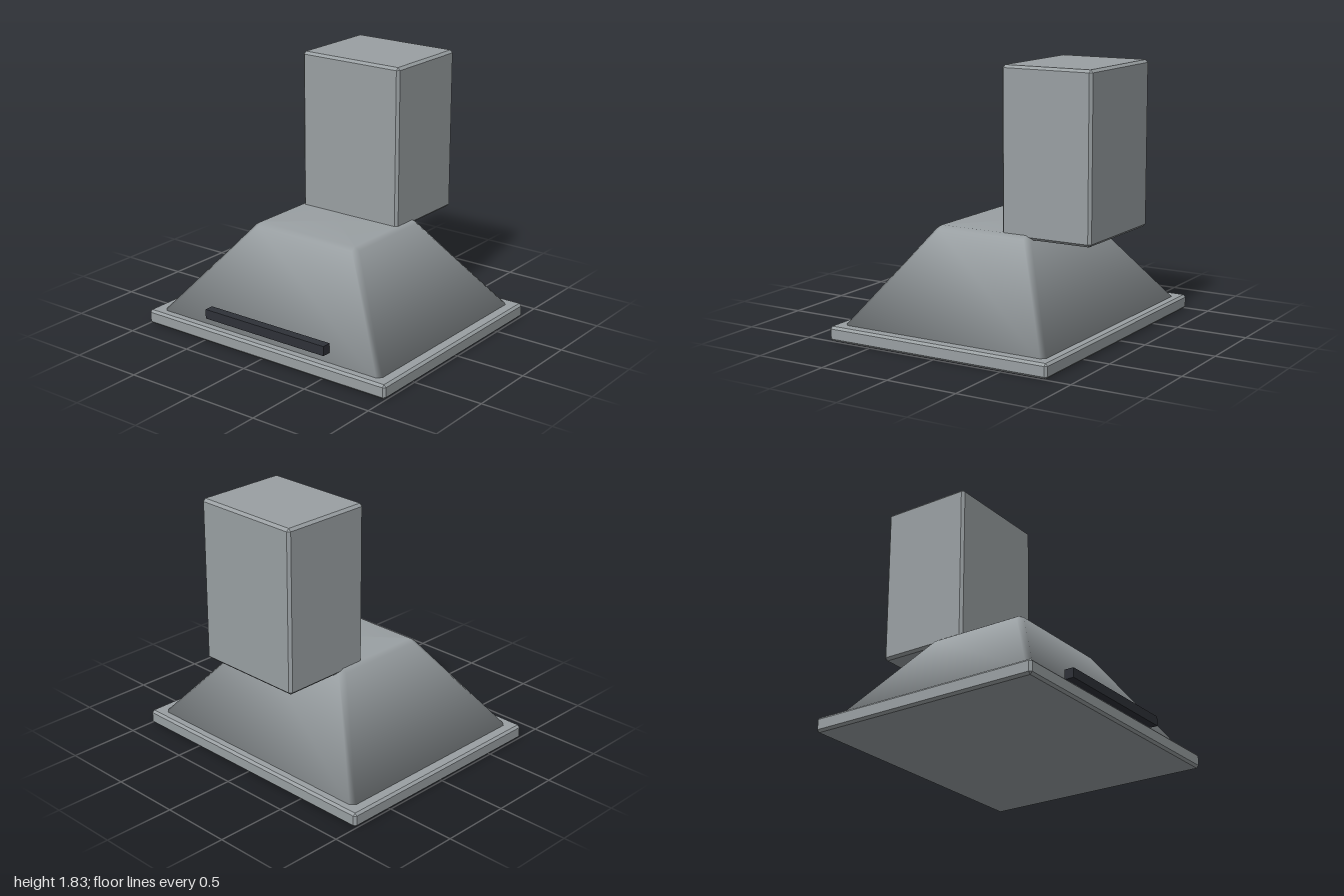
import * as THREE from 'three';
import { ConvexGeometry } from 'three/addons/geometries/ConvexGeometry.js';

const steel = new THREE.MeshStandardMaterial({ color: 0x9aa0a3 });
const dark = new THREE.MeshStandardMaterial({ color: 0x2e3138 });

// Box with chamfered edges, centred on its origin
function chamferBox(width, height, depth, c) {
  const half = [width / 2, height / 2, depth / 2];
  const points = [];
  for (let axis = 0; axis < 3; axis++)
    for (const sx of [-1, 1]) for (const sy of [-1, 1]) for (const sz of [-1, 1]) {
      const p = half.map((h, i) => (i === axis ? h : h - c));
      points.push(new THREE.Vector3(p[0] * sx, p[1] * sy, p[2] * sz));
    }
  return new ConvexGeometry(points);
}

// Smooth tapered body lofted through rectangles with clipped corners
function taperedBody(sections) {
  const positions = [], index = [];
  for (const [y, x, z, c] of sections) {
    const ring = [
      [x, z - c], [x - c, z], [c - x, z], [-x, z - c],
      [-x, c - z], [c - x, -z], [x - c, -z], [x, c - z],
    ];
    for (const [px, pz] of ring) positions.push(px, y, pz);
  }
  const top = (sections.length - 1) * 8;
  const bottomCentre = positions.length / 3, topCentre = bottomCentre + 1;
  positions.push(0, sections[0][0], 0, 0, sections.at(-1)[0], 0);
  for (let i = 0; i < 8; i++) {
    const j = (i + 1) % 8;
    for (let s = 0; s < top; s += 8)
      index.push(s + i, s + 8 + j, s + j, s + i, s + 8 + i, s + 8 + j);
    index.push(topCentre, top + j, top + i, bottomCentre, i, j);
  }
  const geometry = new THREE.BufferGeometry();
  geometry.setAttribute('position', new THREE.Float32BufferAttribute(positions, 3));
  geometry.setIndex(index);
  geometry.computeVertexNormals();
  return geometry;
}

export function createModel() {
  const model = new THREE.Group();
  model.name = 'rangeHood';
  const add = (name, geometry, material, x = 0, y = 0, z = 0) => {
    const mesh = new THREE.Mesh(geometry, material);
    mesh.name = name;
    mesh.position.set(x, y, z);
    model.add(mesh);
  };

  // Flat rim at the bottom
  add('baseRim', chamferBox(2, 0.1, 1.66, 0.016), steel, 0, 0.05, 0);

  // Sloping canopy: y, half width, half depth, corner clip
  add('canopy', taperedBody([
    [0.08, 0.935, 0.78, 0.03],
    [0.712, 0.435, 0.365, 0.035],
    [0.733, 0.4, 0.33, 0.004],
  ]), steel);

  // Chimney flush towards the back wall
  add('chimney', chamferBox(0.8, 1.13, 0.66, 0.018), steel, 0, 1.268, -0.47);

  // Front control bar
  add('controlBar', new THREE.BoxGeometry(1, 0.066, 0.066), dark, 0, 0.187, 0.768);

  return model;
}
